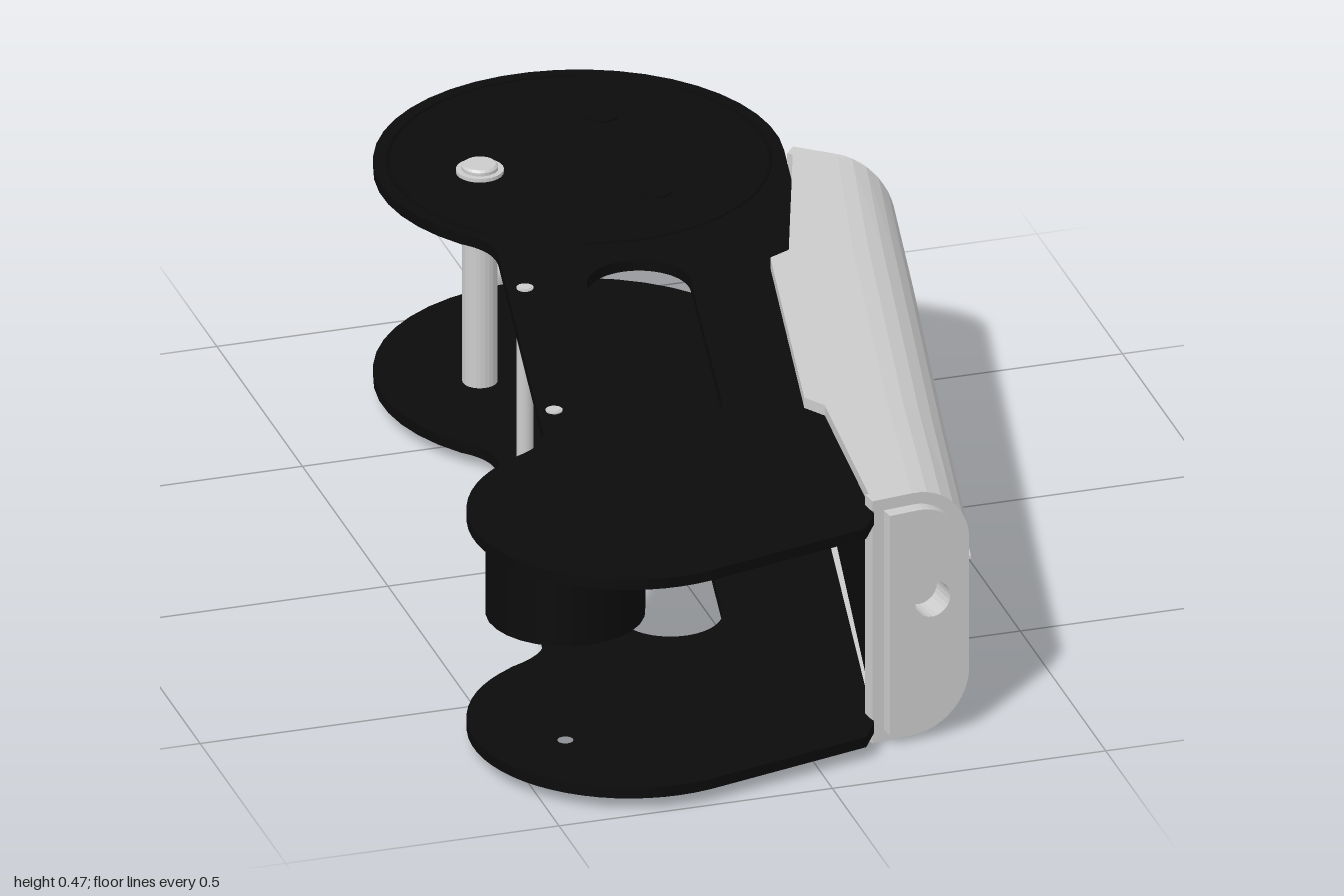
import * as THREE from 'three';

const grey = new THREE.MeshStandardMaterial({ color: 0xcccccc });
const shell = new THREE.MeshStandardMaterial({ color: 0xcccccc, side: THREE.DoubleSide });
const black = new THREE.MeshStandardMaterial({ color: 0x0b0b0b });

const H = 0.47, R = 0.11;                       // cover height and corner radius
const T = new THREE.Vector2(0.204, -0.979);     // cover axis in plan (x, z)
const N = new THREE.Vector2(0.979, 0.204);      // outward direction in plan
const OUT = 0.465;                              // distance of the outer face along N
const v2 = (x, z) => new THREE.Vector2(x, z);

function add(parent, name, geometry, material, x = 0, y = 0, z = 0) {
  const mesh = new THREE.Mesh(geometry, material);
  mesh.name = name;
  mesh.position.set(x, y, z);
  parent.add(mesh);
  return mesh;
}

function circleHole(x, y, r) {
  return new THREE.Path().absarc(x, y, r, 0, Math.PI * 2, true);
}

// Flat extrusion lying in plan, with its top at y = 0
function slab(shape, depth) {
  return new THREE.ExtrudeGeometry(shape, { depth, bevelEnabled: false, curveSegments: 14 }).rotateX(Math.PI / 2);
}

// Side plate: large disc, slotted neck and smaller lobe
function plateShape() {
  const s = new THREE.Shape();
  s.absarc(0.05, -0.64, 0.36, 0.2, 2.484, true);
  s.quadraticCurveTo(-0.185, -0.375, -0.2, -0.31);
  s.lineTo(-0.335, 0.38);
  s.quadraticCurveTo(-0.345, 0.43, -0.42, 0.46);
  s.absarc(-0.28, 0.71, 0.285, -2.08, 1.35, true);
  s.lineTo(0.09, 0.91);
  s.lineTo(0.12, 0.86);
  s.closePath();
  const slot = new THREE.Path();
  slot.absarc(0.003, -0.14, 0.091, Math.PI + 0.19, 0.19, false);
  slot.absarc(-0.09, 0.34, 0.091, 0.19, Math.PI + 0.19, false);
  slot.closePath();
  s.holes.push(slot, circleHole(-0.415, 0.765, 0.014));
  return s;
}

// Plan positions of the cover's inner edge, and the matching outer edge
const inner = [v2(0.12, 0.85), v2(0.155, 0.46), v2(0.13, 0.42), v2(0.24, -0.13), v2(0.28, -0.15), v2(0.41, -0.54)];
const outer = inner.map((p) => p.clone().addScaledVector(N, OUT - N.dot(p)));
outer[0].set(0.305, 0.825);
outer[5].set(0.56, -0.42);

// Cover shell: C-shaped sections swept along the stations above
function coverGeometry() {
  const section = [[null, H - 0.02], [null, H]];  // null = inner edge, else distance from outer edge
  const steps = 6;
  for (let k = 0; k <= steps; k++) {
    const a = (k / steps) * Math.PI / 2;
    section.push([R * (1 - Math.sin(a)), H - R * (1 - Math.cos(a))]);
  }
  for (let k = steps; k >= 0; k--) {
    const a = (k / steps) * Math.PI / 2;
    section.push([R * (1 - Math.sin(a)), R * (1 - Math.cos(a))]);
  }
  section.push([null, 0], [null, 0.02]);
  const pos = [], index = [], n = section.length;
  inner.forEach((p, i) => {
    const q = outer[i], dir = p.clone().sub(q).normalize();
    for (const [d, y] of section) {
      const c = d === null ? p : q.clone().addScaledVector(dir, d);
      pos.push(c.x, y, c.y);
    }
    if (i === inner.length - 1) return;
    for (let j = 0; j < n - 1; j++) {
      const a = i * n + j, c = a + n;
      index.push(a, a + 1, c, a + 1, c + 1, c);
    }
  });
  const g = new THREE.BufferGeometry();
  g.setAttribute('position', new THREE.Float32BufferAttribute(pos, 3));
  g.setIndex(index);
  const flat = g.toNonIndexed();
  flat.computeVertexNormals();
  return flat;
}

// Group whose x runs from plan point a to b, y is up and z faces outward
function planFrame(name, a, b) {
  const g = new THREE.Group();
  g.name = name;
  g.position.set(a.x, 0, a.y);
  g.rotation.y = Math.atan2(-(b.y - a.y), b.x - a.x);
  return g;
}

// End wall with two rounded corners on the outer side and a round hole
function endShape(len, inset, flip, holeX, holeY) {
  const f = (d) => (flip ? len - d : d), r = R - inset, s = new THREE.Shape();
  const x0 = inset, x1 = len - inset, y0 = inset, y1 = H - inset;
  s.moveTo(f(x0), y0);
  s.lineTo(f(x1 - r), y0);
  s.bezierCurveTo(f(x1 - r * 0.45), y0, f(x1), y0 + r * 0.45, f(x1), y0 + r);
  s.lineTo(f(x1), y1 - r);
  s.bezierCurveTo(f(x1), y1 - r * 0.45, f(x1 - r * 0.45), y1, f(x1 - r), y1);
  s.lineTo(f(x0), y1);
  s.closePath();
  s.holes.push(circleHole(holeX, holeY, 0.034));
  return s;
}

function endCap(name, a, b, flip, inset, holeY, back, front) {
  const g = planFrame(name, a, b), len = a.distanceTo(b), holeX = len * (flip ? 0.5 : 0.56);
  const wall = new THREE.ExtrudeGeometry(endShape(len, 0, flip, holeX, holeY), { depth: 0.03, bevelEnabled: false });
  add(g, 'endWall', wall, grey, 0, 0, -0.03);
  if (inset) {
    const tab = new THREE.ExtrudeGeometry(endShape(len, inset, flip, holeX, holeY), { depth: front, bevelEnabled: false });
    add(g, 'raisedCap', tab, grey);
  }
  add(g, 'socketBottom', new THREE.CircleGeometry(0.036, 20), grey, holeX, holeY, back);
  return g;
}

// Parallelogram or strip between points on the outer face
function facePiece(points) {
  const shape = new THREE.Shape(points.map(([x, y]) => v2(x, y)));
  return new THREE.ExtrudeGeometry(shape, { depth: 0.003, bevelEnabled: false });
}

export function createModel() {
  const model = new THREE.Group();
  model.name = 'sidePlateArm';

  // Two plates, each with a rim line and bolt discs on its outer face
  for (const [name, top, face] of [['topPlate', 0.45, 0.45], ['bottomPlate', 0.045, 0.025]]) {
    add(model, name, slab(plateShape(), 0.02), black, 0, top, 0);
    add(model, name + 'Rim', new THREE.TorusGeometry(0.335, 0.003, 4, 36).rotateX(Math.PI / 2), black, 0.05, face, -0.64);
    for (const dz of [-0.157, 0.157])
      add(model, name + 'Boss', new THREE.CylinderGeometry(0.03, 0.03, 0.006, 20), black, 0.14, face, -0.64 + dz);
  }

  // Drum under the small lobe of the top plate
  const drum = new THREE.Shape().absarc(0, 0, 0.14, 0, Math.PI * 2, false);
  drum.holes.push(circleHole(0, 0, 0.014));
  add(model, 'drum', slab(drum, 0.135), black, -0.415, 0.43, 0.765);

  // Large spacer post with stepped ends
  const post = [[0, 0.006], [0.028, 0.006], [0.032, 0.012], [0.032, 0.018], [0.042, 0.018], [0.042, 0.025], [0.031, 0.025],
    [0.031, 0.45], [0.042, 0.45], [0.042, 0.457], [0.032, 0.457], [0.032, 0.463], [0.028, 0.467], [0, 0.467]];
  const lathe = new THREE.LatheGeometry(post.map(([x, y]) => v2(x, y)), 24).toNonIndexed();
  lathe.computeVertexNormals();
  add(model, 'largePost', lathe, grey, -0.13, 0, -0.645);

  // Two slim spacer posts
  for (const [x, z] of [[-0.193, -0.18], [-0.29, 0.3]]) {
    add(model, 'slimPost', new THREE.CylinderGeometry(0.015, 0.015, 0.43, 16), grey, x, 0.2375, z);
    add(model, 'slimPostHead', new THREE.CylinderGeometry(0.018, 0.018, 0.432, 6), grey, x, 0.2375, z).scale.set(0.7, 1, 0.7);
  }

  // Cover shell with its two end walls
  add(model, 'cover', coverGeometry(), shell);
  model.add(endCap('frontCap', inner[0], outer[0], false, 0.022, 0.27, -0.03, 0.025));
  model.add(endCap('rearCap', outer[5], inner[5], true, 0, 0.2, -0.03, 0));

  // Dark wall closing the cover between the plates
  const wall = planFrame('innerWall', v2(0.135, 0.845), v2(0.135, 0.845).add(T));
  add(wall, 'innerWallPanel', new THREE.BoxGeometry(1.38, 0.4, 0.012), black, 0.69, 0.2375, 0);
  model.add(wall);

  // Stepped trim line and slanted vents on the outer face
  const face = planFrame('coverTrim', outer[0], outer[5]);
  const w = 0.006;
  add(face, 'trimLine', facePiece([[0, 0.32], [0.33, 0.32], [0.445, 0.155], [1.25, 0.155], [1.25, 0.155 + w],
    [0.449, 0.155 + w], [0.334, 0.32 + w], [0, 0.32 + w]]), grey);
  for (let i = 0; i < 5; i++) {
    const s = 0.53 + i * 0.085;
    add(face, 'vent', facePiece([[s, 0.3], [s + 0.09, 0.168], [s + 0.135, 0.168], [s + 0.045, 0.3]]), grey);
  }
  model.add(face);
  return model;
}
